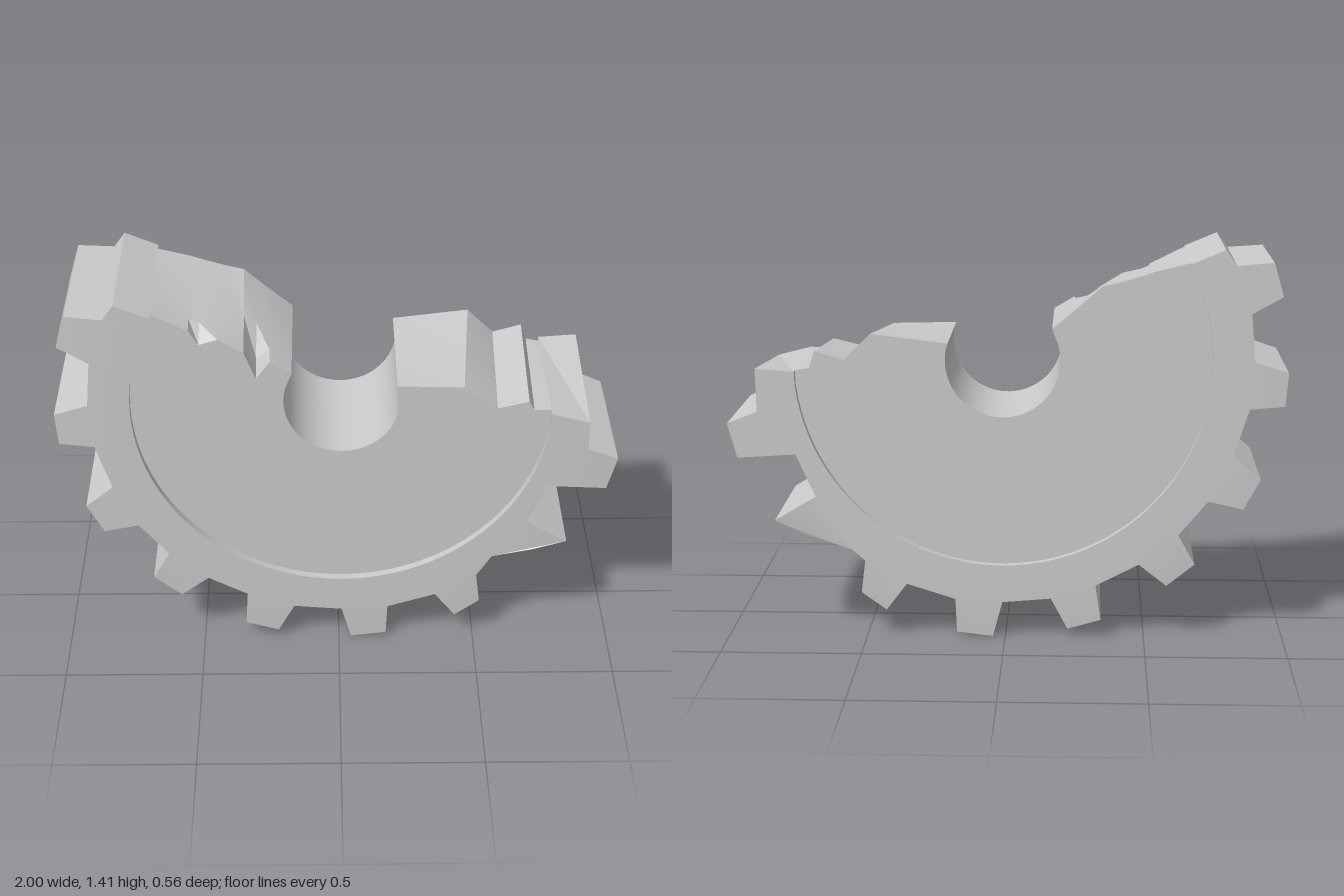
import * as THREE from 'three';
import { toCreasedNormals } from 'three/addons/utils/BufferGeometryUtils.js';

const CX = 0.01, CY = 1.015;          // gear axis
const BODY = 0.25, RIM = 0.28;        // half thicknesses
const material = new THREE.MeshStandardMaterial({ color: 0xcccccc });

const arc = (r, a0, a1, n) => Array.from({ length: n + 1 }, (_, i) => {
  const a = a0 + (a1 - a0) * i / n;
  return [CX + r * Math.cos(a), CY + r * Math.sin(a)];
});
const at = (path, z) => path.map(([x, y]) => [x, y, z]);

// Strip between two matching paths, facing the right-hand side of the path.
function wall(out, front, back) {
  for (let i = 0; i < front.length - 1; i++) {
    const [a, b, c, d] = [front[i], back[i], back[i + 1], front[i + 1]];
    out.push(...a, ...b, ...c, ...a, ...c, ...d);
  }
}

// Flat face filling a closed counter-clockwise outline.
function cap(out, points, facesFront) {
  const flat = points.map(p => new THREE.Vector2(p[0], p[1]));
  for (const [a, b, c] of THREE.ShapeUtils.triangulateShape(flat, [])) {
    const order = facesFront ? [a, b, c] : [a, c, b];
    order.forEach(i => out.push(...points[i]));
  }
}

function toMesh(name, positions) {
  const g = new THREE.BufferGeometry();
  g.setAttribute('position', new THREE.Float32BufferAttribute(positions, 3));
  const mesh = new THREE.Mesh(toCreasedNormals(g, 0.3), material);
  mesh.name = name;
  return mesh;
}

// Arc where the thick rim meets the thinner body
const seam = [[-0.65, 1.365], ...arc(0.743, 2.654, Math.PI * 2 - 0.054, 56).slice(1, -1), [0.75, 0.975]];

// Toothed outline, from the broken left end round the bottom to the right end
const teethStart = [
  [-0.65, 1.365], [-0.77, 1.415], [-0.81, 1.36], [-0.94, 1.37], [-0.975, 1.25], [-0.865, 1.19],
  [-0.88, 1.02], [-1, 0.98], [-0.99, 0.86], [-0.865, 0.85], [-0.81, 0.68], [-0.91, 0.595],
  [-0.85, 0.485], [-0.725, 0.515], [-0.62, 0.39], [-0.68, 0.28], [-0.58, 0.2], [-0.48, 0.28],
  [-0.325, 0.2], [-0.345, 0.07], [-0.225, 0.035], [-0.165, 0.15], [0.01, 0.135], [0.045, 0.005],
  [0.175, 0.02], [0.18, 0.145], [0.355, 0.2], [0.43, 0.1], [0.52, 0.165], [0.505, 0.285],
];
const chipFront = [[0.56, 0.37], [0.71, 0.4], [0.83, 0.43]];
const chipBack = [[0.55, 0.325], [0.74, 0.388], [0.83, 0.43]];
const teethEnd = [[0.75, 0.38 + 0.0], [0.68, 0.52], [0.75, 0.675], [0.96, 0.66], [0.995, 0.785], [0.885, 0.83]].slice(1);

function createRim() {
  const out = [];
  // Tooth tips are slightly thinner than their roots
  const taper = (path, sign) => path.map(([x, y]) =>
    [x, y, sign * (Math.hypot(x - CX, y - CY) > 0.94 ? 0.272 : RIM)]);
  const front = taper([...teethStart, ...chipFront, ...teethEnd, [0.885, 0.94], [0.75, 0.975]], 1);
  const back = taper([...teethStart, ...chipBack, ...teethEnd, [0.89, 0.985], [0.75, 0.975]], -1);
  wall(out, front, back);
  const inner = seam.slice(1, -1).reverse();
  cap(out, [...front, ...at(inner, RIM)], true);
  cap(out, [...back, ...at(inner, -RIM)], false);
  // Small steps down to the body faces
  const edge = seam.slice().reverse();
  wall(out, at(edge, RIM), at(edge, BODY));
  wall(out, at(edge, -BODY), at(edge, -RIM));
  return toMesh('toothedRim', out);
}

// Fracture lines, each point as [front x, front y, back x, back y]
const rightBreak = [
  [0.75, 0.975, 0.75, 0.975], [0.69, 0.975, 0.7, 0.985], [0.67, 1.01, 0.68, 1.045],
  [0.56, 0.983, 0.575, 1.015], [0.44, 1.07, 0.48, 1.108], [0.205, 1.075, 0.205, 1.075],
];
const leftBreak = [
  [-0.165, 1.13, -0.165, 1.13], [-0.24, 1.175, -0.25, 1.2], [-0.29, 1.19, -0.29, 1.235],
  [-0.33, 1.21, -0.34, 1.28], [-0.42, 1.265, -0.42, 1.3], [-0.485, 1.285, -0.485, 1.32],
  [-0.52, 1.3, -0.53, 1.335], [-0.65, 1.365, -0.65, 1.365],
];
// Notches cut into the front of the left fracture: point index, end z, depth
const notches = [{ index: 2, end: 0.03, depth: 0.08 }, { index: 5, end: 0.17, depth: 0.04 }];

function bodySection(z) {
  const t = (BODY - z) / (2 * BODY);
  const blend = list => list.map(([fx, fy, bx, by]) => [fx + (bx - fx) * t, fy + (by - fy) * t]);
  const left = blend(leftBreak);
  for (const { index, end, depth } of notches)
    left[index][1] -= depth * Math.max(0, (z - end) / (BODY - end));
  const bore = arc(0.205, 0.3, -3.72, 40).slice(1, -1);
  return at([...blend(rightBreak), ...bore, ...left], z);
}

function createBody() {
  const out = [];
  const sections = [BODY, 0.17, 0.03, -BODY].map(bodySection);
  for (let i = 0; i < sections.length - 1; i++) wall(out, sections[i], sections[i + 1]);
  const rim = seam.slice(1, -1);
  cap(out, [...sections[0], ...at(rim, BODY)], true);
  cap(out, [...sections[3], ...at(rim, -BODY)], false);
  return toMesh('brokenBody', out);
}

export function createModel() {
  const group = new THREE.Group();
  group.name = 'brokenGear';
  group.add(createRim(), createBody());
  return group;
}
